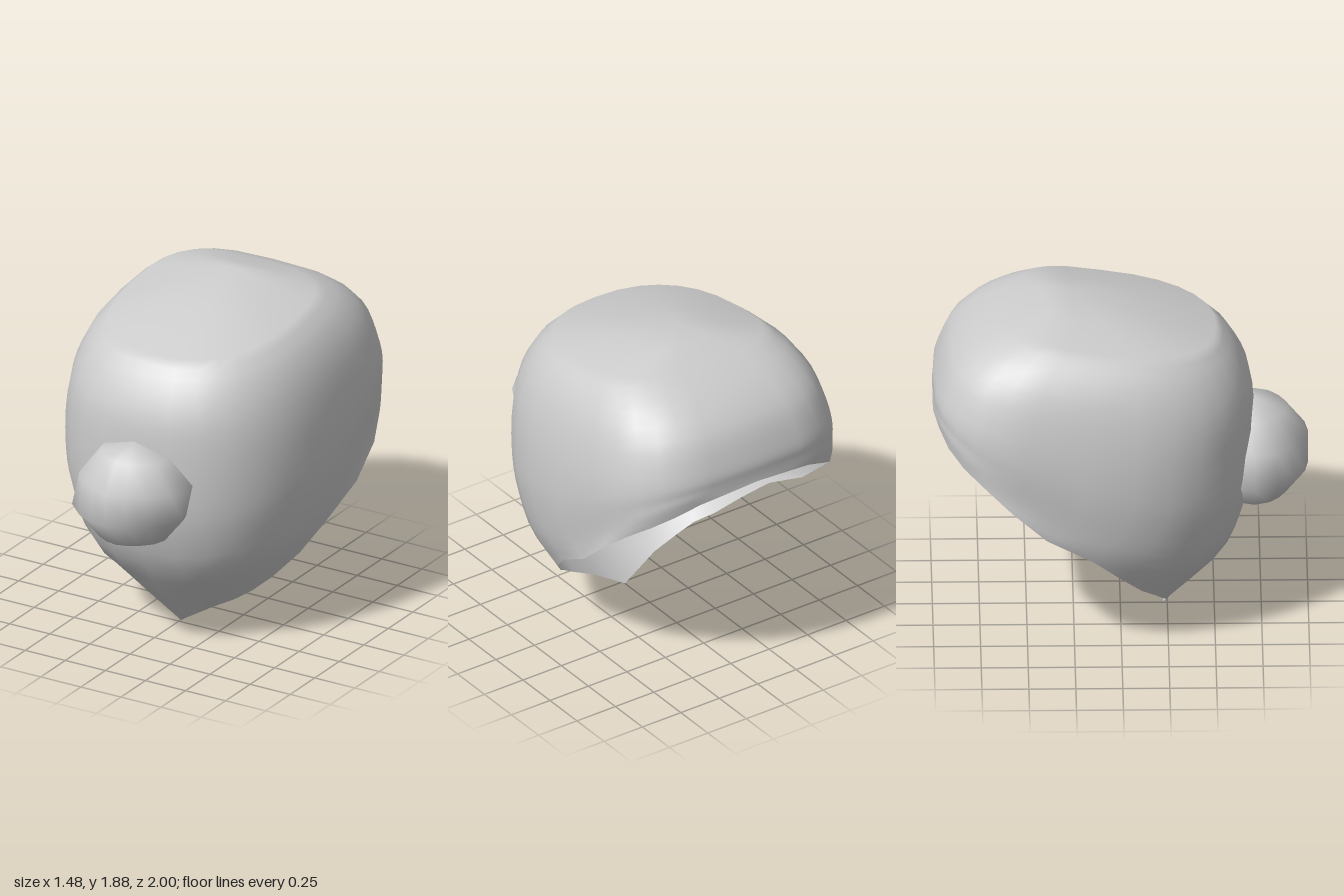
import * as THREE from 'three';
import { mergeVertices } from 'three/addons/utils/BufferGeometryUtils.js';

const HALF = 14;          // columns from front centre to back centre
const COLS = HALF * 2;
const ROWS = 20;          // rings between the crown and the open rim
const POLE = new THREE.Vector3(0, 1.88, -0.26);

// Belts round the shell: front y, z; side x, y, z; back y, z
const BELTS = [
  [1.66, 0.51, 0.50, 1.74, -0.10, 1.81, -0.56],
  [1.55, 0.61, 0.60, 1.65, -0.12, 1.73, -0.75],
  [1.38, 0.69, 0.68, 1.50, -0.14, 1.60, -0.91],
  [1.20, 0.71, 0.73, 1.25, -0.16, 1.45, -0.98],
  [0.86, 0.70, 0.74, 1.03, -0.18, 1.38, -1.00],
  [0.66, 0.66, 0.73, 0.90, -0.22, 1.34, -1.00],
  [0.42, 0.56, 0.71, 0.78, -0.32, 1.31, -1.00],
];

// Open rim, from the chin tip round to the back
const RIM = [
  [0, 0.005, 0.23], [0.2, 0.13, 0.24], [0.33, 0.2, 0.22], [0.42, 0.26, 0.19],
  [0.5, 0.33, 0.11], [0.6, 0.45, 0], [0.67, 0.59, -0.15], [0.71, 0.74, -0.4],
  [0.71, 0.9, -0.58], [0.66, 1.02, -0.72], [0.58, 1.11, -0.84],
  [0.48, 1.18, -0.92], [0.35, 1.24, -0.97], [0.2, 1.27, -1], [0, 1.28, -1],
];

// Point on a belt: rounded front half, squarer back half
function beltPoint([yF, zF, xS, yS, zS, yB, zB], j) {
  const angle = Math.PI * j / HALF;
  const front = j <= HALF / 2;
  const power = 2 / (front ? 2.4 : 3.2);
  const s = Math.pow(Math.max(0, Math.sin(angle)), power);
  const c = Math.pow(Math.abs(Math.cos(angle)), power);
  return new THREE.Vector3(
    xS * s,
    THREE.MathUtils.lerp(yS, front ? yF : yB, c),
    THREE.MathUtils.lerp(zS, front ? zF : zB, c)
  );
}

// One column of points from crown to rim
function column(j) {
  const mirror = j > HALF;
  const k = mirror ? COLS - j : j;
  const points = BELTS.map((belt) => beltPoint(belt, k));
  points.push(new THREE.Vector3(...RIM[k]));
  const path = new THREE.CatmullRomCurve3(points, false, 'centripetal').getPoints(ROWS - 2);
  path.unshift(POLE.clone().lerp(path[0], 0.5));
  if (mirror) path.forEach((p) => { p.x *= -1; });
  return path;
}

function shellGeometry() {
  const columns = Array.from({ length: COLS }, (_, j) => column(j));
  const positions = [...POLE.toArray()];
  const indices = [];
  for (let i = 0; i < ROWS; i++) {
    for (let j = 0; j < COLS; j++) {
      positions.push(...columns[j][i].toArray());
      const next = (j + 1) % COLS;
      const a = 1 + i * COLS + j, b = 1 + i * COLS + next;
      if (i === 0) indices.push(0, a, b);
      if (i < ROWS - 1) indices.push(a, a + COLS, b, b, a + COLS, b + COLS);
    }
  }
  const geometry = new THREE.BufferGeometry();
  geometry.setAttribute('position', new THREE.Float32BufferAttribute(positions, 3));
  geometry.setIndex(indices);
  geometry.computeVertexNormals();
  return geometry;
}

// Lumpy knob: a coarse ball whose upper and lower halves bulge opposite ways
function knobGeometry() {
  let geometry = new THREE.SphereGeometry(1, 16, 5);
  geometry.deleteAttribute('uv');
  geometry.deleteAttribute('normal');
  geometry = mergeVertices(geometry, 1e-4);
  const pos = geometry.attributes.position;
  for (let i = 0; i < pos.count; i++) {
    const x = pos.getX(i), y = pos.getY(i), z = pos.getZ(i);
    const a = Math.atan2(z, x);
    const radius = 0.3 + 0.02 * Math.cos(2 * a) + 0.02 * Math.sign(y) * Math.cos(a)
      + 0.01 * Math.cos(4 * a);
    const r = radius * Math.hypot(x, z) / 0.951;
    pos.setXYZ(i, r * Math.cos(a), y * 0.295, r * Math.sin(a));
  }
  geometry.computeVertexNormals();
  return geometry;
}

export function createModel() {
  const grey = new THREE.MeshStandardMaterial({ color: 0xcccccc, side: THREE.DoubleSide });
  grey.name = 'light grey';
  const model = new THREE.Group();
  model.name = 'hoodedShell';

  // Hollow hood, open below and behind
  const shell = new THREE.Mesh(shellGeometry(), grey);
  shell.name = 'shell';

  // Knob pushed through the front wall
  const knob = new THREE.Mesh(knobGeometry(), grey);
  knob.name = 'nose';
  knob.position.set(0, 0.935, 0.71);

  model.add(shell, knob);
  return model;
}
